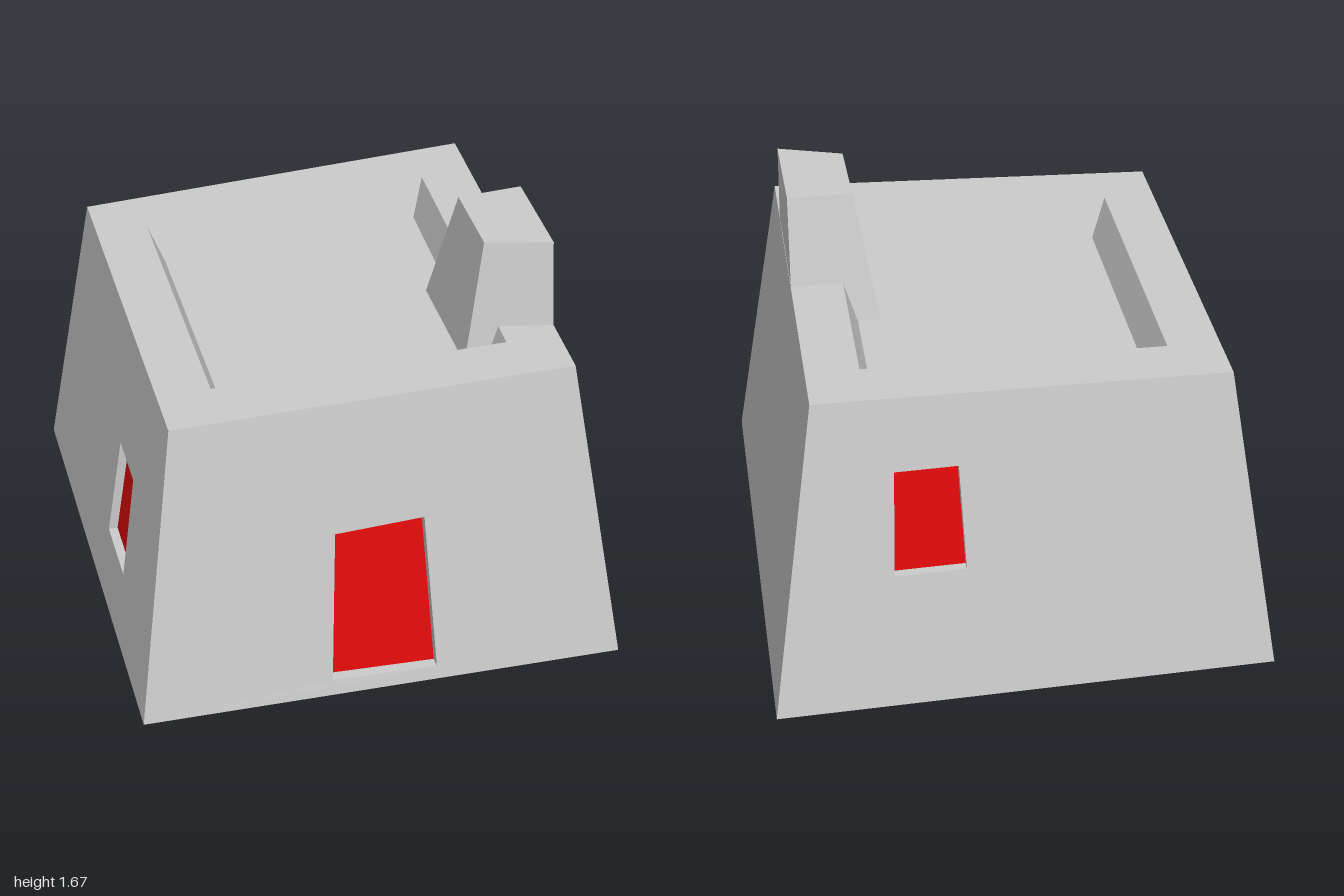
import * as THREE from 'three';

const grey = new THREE.MeshStandardMaterial({ color: 0xcccccc, flatShading: true });
const red = new THREE.MeshStandardMaterial({ color: 0xe00a0a, flatShading: true });

// Four-cornered loops run anticlockwise: front left, front right, back right, back left
const quad = (a, b, c, d) => [a, b, c, a, c, d];
const ring = (from, to) => from.flatMap((p, i) => {
  const j = (i + 1) % 4;
  return quad(p, from[j], to[j], to[i]);
});

function mesh(name, material, points) {
  const geometry = new THREE.BufferGeometry();
  geometry.setAttribute('position', new THREE.Float32BufferAttribute(points.flat(), 3));
  geometry.computeVertexNormals();
  const m = new THREE.Mesh(geometry, material);
  m.name = name;
  return m;
}

// The roof rises slightly towards +x
const roofY = (x) => 1.28 + 0.04 * (x + 0.8) / 1.56;
const level = (xz, height) => xz.map(([x, z]) => [x, height(x), z]);

export function createModel() {
  const group = new THREE.Group();
  group.name = 'house';

  const bottom = level([[-0.99, 0.9], [0.935, 1], [0.985, -1], [-0.99, -1]], () => 0);
  const top = level([[-0.8, 0.715], [0.745, 0.79], [0.785, -0.81], [-0.8, -0.81]], roofY);
  const rim = level([[-0.595, 0.52], [0.545, 0.575], [0.575, -0.605], [-0.595, -0.605]], roofY);
  const floor = level([[-0.535, 0.465], [0.495, 0.52], [0.525, -0.55], [-0.535, -0.55]], (x) => roofY(x) - 0.155);

  // Openings, keyed by wall: corners from lower left as seen from outside, and recess direction
  const openings = {
    0: { name: 'door', inward: [0, 0, -0.042],
      hole: [[-0.235, 0.07, 0.928], [0.185, 0.06, 0.952], [0.15, 0.755, 0.844], [-0.2, 0.737, 0.83]] },
    2: { name: 'backWindow', inward: [0, 0, 0.036],
      hole: [[0.505, 0.57, -0.917], [0.227, 0.57, -0.917], [0.245, 1.01, -0.853], [0.487, 1.01, -0.853]] },
    3: { name: 'sideWindow', inward: [0.036, 0, 0],
      hole: [[-0.944, 0.31, 0.083], [-0.944, 0.31, 0.368], [-0.877, 0.765, 0.345], [-0.877, 0.765, 0.105]] },
  };

  // Sloping walls, with recessed red panels in the openings
  ['frontWall', 'rightWall', 'backWall', 'leftWall'].forEach((name, i) => {
    const j = (i + 1) % 4;
    const outline = [bottom[i], bottom[j], top[j], top[i]];
    const opening = openings[i];
    if (!opening) {
      group.add(mesh(name, grey, quad(...outline)));
      return;
    }
    const { hole, inward } = opening;
    const inner = hole.map((p) => p.map((v, k) => v + inward[k]));
    group.add(mesh(name, grey, ring(outline, hole)));
    group.add(mesh(opening.name + 'Frame', grey, ring(hole, inner)));
    group.add(mesh(opening.name, red, quad(...inner)));
  });

  // Underside, parapet and sunken roof terrace
  group.add(mesh('base', grey, quad(...[...bottom].reverse())));
  group.add(mesh('parapet', grey, [...ring(top, rim), ...ring(rim, floor)]));
  group.add(mesh('roofFloor', grey, quad(...floor)));

  // Tapered chimney standing flush with the outer wall
  const foot = level([[0.42, 0.46], [0.752, 0.55], [0.768, -0.04], [0.42, -0.04]], () => 1.15);
  const cap = level([[0.5, 0.4], [0.75, 0.475], [0.755, 0.08], [0.502, 0.08]], (x) => 1.665 + (x - 0.5) * 0.02);
  group.add(mesh('chimney', grey, [...ring(foot, cap), ...quad(...cap)]));

  return group;
}
